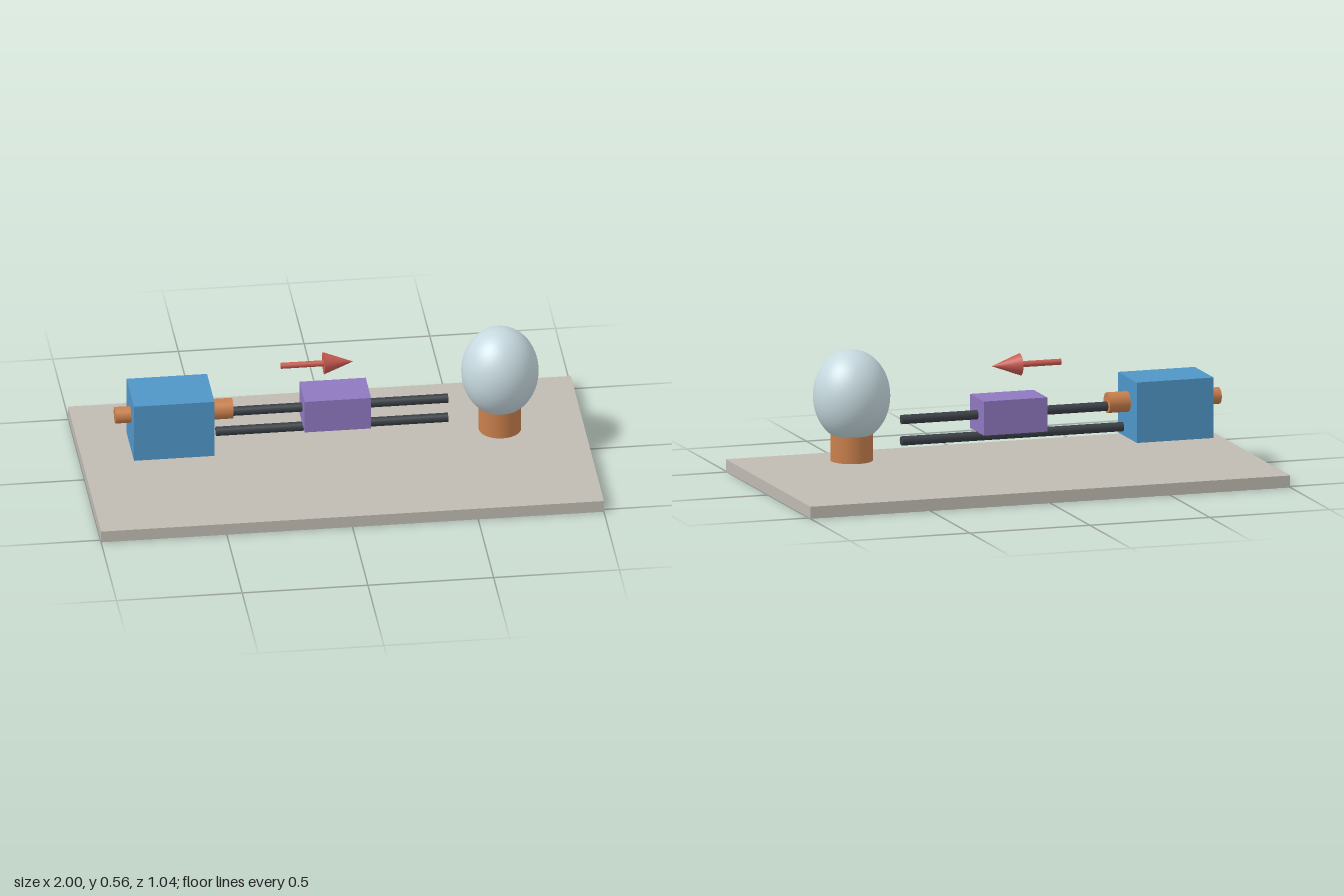
import * as THREE from 'three';

const material = (name, color) => {
  const m = new THREE.MeshStandardMaterial({ color });
  m.name = name;
  return m;
};

export function createModel() {
  const model = new THREE.Group();
  model.name = 'linearActuatorRig';

  const stone = material('warm grey', 0xbfbbb2);
  const blue = material('blue', 0x4f96c6);
  const copper = material('copper', 0xc87f4c);
  const steel = material('dark steel', 0x3a4046);
  const purple = material('purple', 0x8f78bf);
  const glass = material('pale glass', 0xc6d9df);
  const red = material('red', 0xc95c52);

  const add = (name, geometry, mat, x, y) => {
    const mesh = new THREE.Mesh(geometry, mat);
    mesh.name = name;
    mesh.position.set(x, y, 0);
    model.add(mesh);
    return mesh;
  };

  // Box spanning x0..x1 and y0..y1, centred in z
  const box = (name, mat, x0, x1, y0, y1, depth) =>
    add(name, new THREE.BoxGeometry(x1 - x0, y1 - y0, depth), mat, (x0 + x1) / 2, (y0 + y1) / 2);

  // Round bar along x; tip radius 0 makes a cone pointing to +x
  const bar = (name, mat, x0, x1, y, radius, tip = radius) => {
    const geometry = new THREE.CylinderGeometry(tip, radius, x1 - x0, 32);
    geometry.rotateZ(-Math.PI / 2);
    return add(name, geometry, mat, (x0 + x1) / 2, y);
  };

  box('basePlate', stone, -1, 1, 0, 0.048, 1.036);

  // Motor housing with its rear stub and front collar
  box('motorHousing', blue, -0.818, -0.498, 0.136, 0.379, 0.232);
  bar('rearStub', copper, -0.88, -0.8, 0.282, 0.033);
  bar('frontCollar', copper, -0.51, -0.412, 0.282, 0.041);

  // Drive shaft, guide rail and the carriage riding on them
  bar('driveShaft', steel, -0.478, 0.445, 0.268, 0.0185);
  bar('guideRail', steel, -0.478, 0.445, 0.182, 0.0185);
  box('carriage', purple, -0.135, 0.129, 0.199, 0.336, 0.168);

  // Direction arrow
  bar('arrowShaft', red, -0.22, -0.045, 0.459, 0.012);
  bar('arrowHead', red, -0.05, 0.068, 0.459, 0.044, 0);

  // Bulb and socket
  add('socket', new THREE.CylinderGeometry(0.084, 0.084, 0.107, 40), copper, 0.652, 0.1715);
  const bulb = add('bulb', new THREE.SphereGeometry(0.153, 48, 32), glass, 0.652, 0.378);
  bulb.scale.y = 1.2;

  return model;
}
